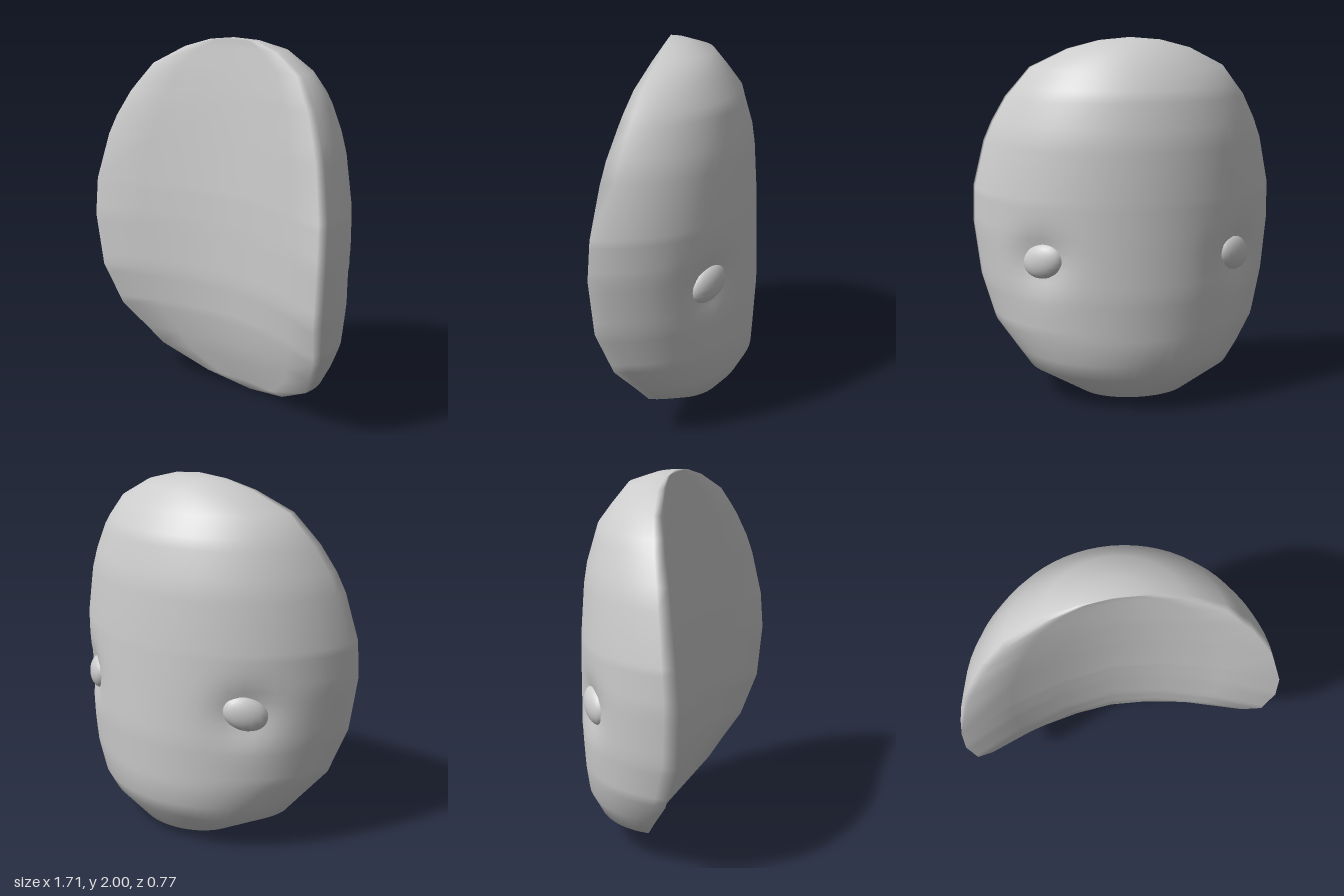
import * as THREE from 'three';
import { mergeVertices } from 'three/addons/utils/BufferGeometryUtils.js';

// Level sections, bottom to top: height, half width, rim z, outer middle z, hollow middle z
const SECTIONS = [
  [0, 0, -0.02, -0.02, -0.02], [0.05, 0.30, 0.03, -0.20, 0.0], [0.18, 0.57, 0.14, -0.30, 0.05],
  [0.28, 0.645, 0.20, -0.36, 0.08], [0.42, 0.75, 0.29, -0.37, 0.11], [0.66, 0.82, 0.37, -0.385, 0.135],
  [0.96, 0.855, 0.39, -0.38, 0.14], [1.17, 0.85, 0.375, -0.375, 0.14], [1.43, 0.79, 0.33, -0.36, 0.13],
  [1.54, 0.745, 0.305, -0.345, 0.125], [1.68, 0.67, 0.26, -0.305, 0.12], [1.74, 0.62, 0.24, -0.29, 0.115],
  [1.84, 0.54, 0.20, -0.215, 0.11], [1.94, 0.34, 0.14, -0.14, 0.10], [1.985, 0.17, 0.11, -0.01, 0.10],
  [2, 0, 0.10, 0.10, 0.10],
];
const OUTER = 32, INNER = 6, RING = OUTER + INNER;
const EYE = new THREE.Vector3(0.54, 0.84, -0.18);
const EYE_NORMAL = new THREE.Vector3(0.63, 0, -0.78);

// Press a soft socket into the outer face around each eye
function pressSocket(p) {
  const s = p.x < 0 ? -1 : 1;
  const d = Math.hypot(p.x * s - EYE.x, p.y - EYE.y, p.z - EYE.z) / 0.14;
  const depth = 0.05 * Math.exp(-d * d);
  p.x -= s * EYE_NORMAL.x * depth;
  p.z -= EYE_NORMAL.z * depth;
}

function maskGeometry() {
  // Add extra levels, closer together around the eyes
  const rows = [];
  for (let k = 0; k < SECTIONS.length - 1; k++) {
    const y = SECTIONS[k][0];
    const n = y > 0.4 && y < 1.1 ? 5 : 1;
    for (let j = 0; j < n; j++)
      rows.push(SECTIONS[k].map((v, c) => THREE.MathUtils.lerp(v, SECTIONS[k + 1][c], j / n)));
  }
  rows.push(SECTIONS[SECTIONS.length - 1]);

  const pos = [], index = [];
  for (const [y, w, rim, outer, hollow] of rows) {
    // Half ellipse round the outer face, from rim to rim
    for (let i = 0; i < OUTER; i++) {
      const a = (i / OUTER) * Math.PI;
      const p = new THREE.Vector3(w * Math.cos(a), y, rim - (rim - outer) * Math.sin(a));
      pressSocket(p);
      pos.push(p.x, p.y, p.z);
    }
    // Shallow curve across the hollow face
    for (let i = 0; i < INNER; i++) {
      const u = -1 + (2 * i) / INNER;
      pos.push(w * u, y, hollow + (rim - hollow) * Math.pow(Math.abs(u), 1.7));
    }
  }
  for (let r = 0; r < rows.length - 1; r++) {
    for (let i = 0; i < RING; i++) {
      const a = r * RING + i, b = r * RING + ((i + 1) % RING);
      if (r > 0) index.push(a, b, b + RING);
      if (r < rows.length - 2) index.push(a, b + RING, a + RING);
      else if (r === rows.length - 2) index.push(a, b, a + RING);
      if (r === rows.length - 2) index.splice(-6, 3);
    }
  }
  let geo = new THREE.BufferGeometry();
  geo.setAttribute('position', new THREE.Float32BufferAttribute(pos, 3));
  geo.setIndex(index);
  geo = mergeVertices(geo, 1e-5);
  geo.computeVertexNormals();
  return geo;
}

export function createModel() {
  const group = new THREE.Group();
  const grey = new THREE.MeshStandardMaterial({ color: 0xcccccc });
  grey.name = 'light grey';

  const mask = new THREE.Mesh(maskGeometry(), grey);
  mask.name = 'mask';
  group.add(mask);

  // Slanted oval eyes, inner ends raised
  const eyeGeometry = new THREE.SphereGeometry(1, 20, 14);
  for (const s of [1, -1]) {
    const eye = new THREE.Mesh(eyeGeometry, grey);
    eye.name = s > 0 ? 'leftEye' : 'rightEye';
    eye.scale.set(0.125, 0.095, 0.06);
    eye.position.set(s * (EYE.x - 0.02), EYE.y, EYE.z + 0.02);
    eye.rotation.set(0, s * 2.46, s * 0.35, 'YXZ');
    group.add(eye);
  }
  return group;
}
